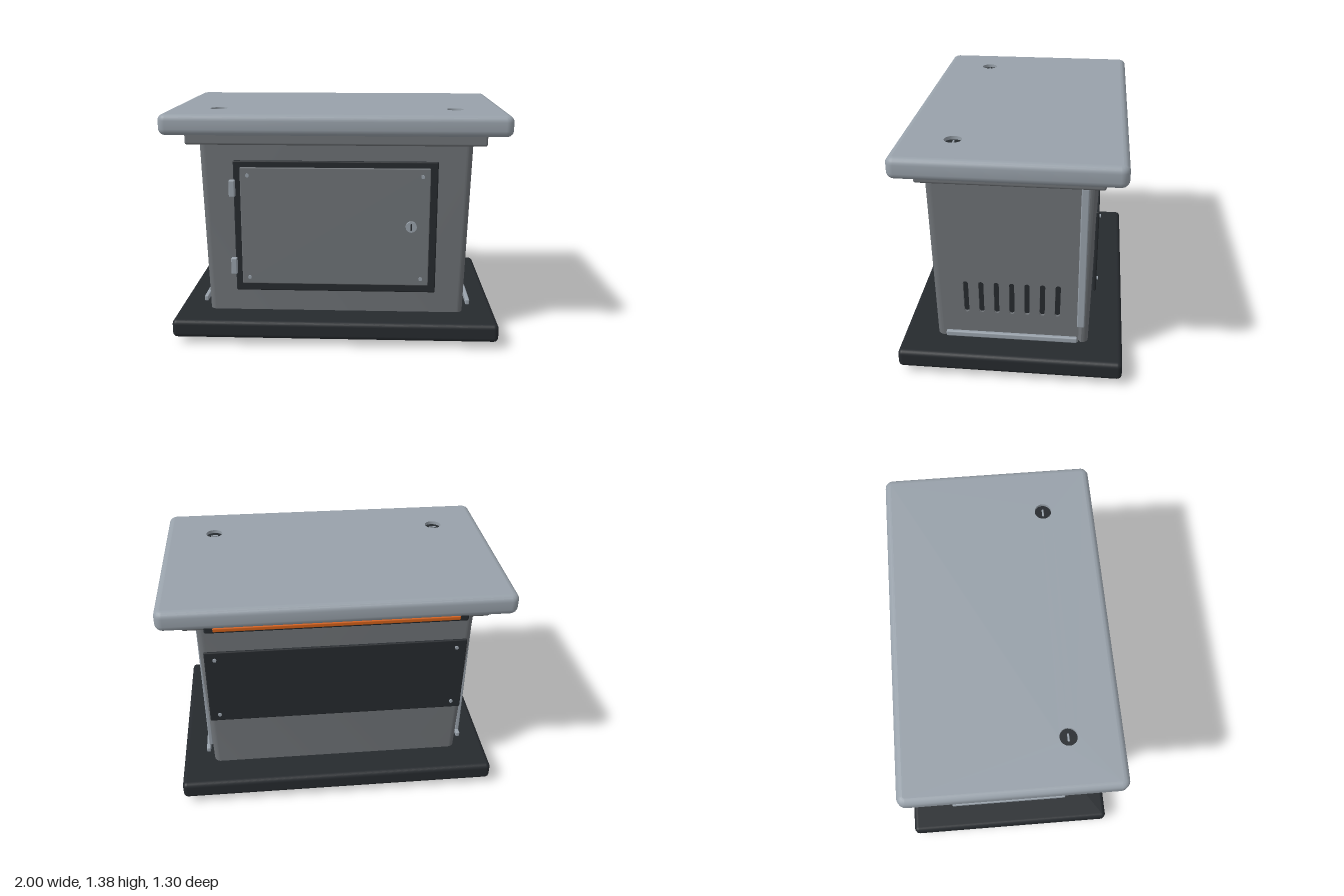
import * as THREE from 'three';
import { toCreasedNormals } from 'three/addons/utils/BufferGeometryUtils.js';
import { RoundedBoxGeometry } from 'three/addons/geometries/RoundedBoxGeometry.js';

const mat = (color) => new THREE.MeshStandardMaterial({ color });
const BODY = mat(0x6e7276), LIGHT = mat(0x98a1aa), DARK = mat(0x262a2e), ORANGE = mat(0xd2601a);
const HOLE = new THREE.MeshStandardMaterial({ color: 0x98a1aa, side: THREE.DoubleSide });

const Y0 = 0.14, Y1 = 1.19;          // cabinet bottom and top
const W = 0.775, D = 0.447, N = 0.02; // cabinet half width, half depth, side sheet thickness
const ZN = 0.39;                      // half depth of the side sheets

// Cabinet walls lean outwards towards the top
function taper(geo) {
  const p = geo.attributes.position;
  for (let i = 0; i < p.count; i++) {
    const t = (p.getY(i) - Y0) / (Y1 - Y0);
    p.setX(i, p.getX(i) * (1 + 0.032 * t));
    p.setZ(i, p.getZ(i) * (1 + 0.056 * t));
  }
  return toCreasedNormals(geo, 0.6);
}

function roundedRect(w, d, r) {
  const s = new THREE.Shape();
  s.absarc(w - r, d - r, r, 0, Math.PI / 2);
  s.absarc(-w + r, d - r, r, Math.PI / 2, Math.PI);
  s.absarc(-w + r, -d + r, r, Math.PI, Math.PI * 1.5);
  s.absarc(w - r, -d + r, r, Math.PI * 1.5, Math.PI * 2);
  s.closePath();
  return s;
}

// Plan of the cabinet with a shallow recess on each side for the slotted sheets
function cabinetPlan() {
  const r = 0.04, s = new THREE.Shape();
  s.moveTo(W, ZN);
  s.absarc(W - r, D - r, r, 0, Math.PI / 2);
  s.absarc(-W + r, D - r, r, Math.PI / 2, Math.PI);
  s.lineTo(-W, ZN);
  s.lineTo(-W + N, ZN);
  s.lineTo(-W + N, -ZN);
  s.lineTo(-W, -ZN);
  s.absarc(-W + r, -D + r, r, Math.PI, Math.PI * 1.5);
  s.absarc(W - r, -D + r, r, Math.PI * 1.5, Math.PI * 2);
  s.lineTo(W, -ZN);
  s.lineTo(W - N, -ZN);
  s.lineTo(W - N, ZN);
  s.closePath();
  return s;
}

// Side sheet with seven upright ventilation slots
function slottedSheet(side) {
  const s = new THREE.Shape();
  s.moveTo(-ZN, Y0); s.lineTo(ZN, Y0); s.lineTo(ZN, Y1); s.lineTo(-ZN, Y1); s.closePath();
  for (let i = -3; i <= 3; i++) {
    const h = new THREE.Path(), x = i * 0.0875, r = 0.015;
    h.absarc(x, 0.52, r, 0, Math.PI);
    h.absarc(x, 0.34, r, Math.PI, Math.PI * 2);
    h.closePath();
    s.holes.push(h);
  }
  const g = new THREE.ExtrudeGeometry(s, { depth: N, bevelEnabled: false, curveSegments: 6 });
  g.translate(0, 0, W - N);
  g.rotateY(side * Math.PI / 2);
  return taper(g);
}

// Lid rim: bevelled slab with its top face left out, so that a pierced one can close it
function lidRim(w, d, y0, y1, b) {
  const g = new THREE.ExtrudeGeometry(roundedRect(w - b, d - b, 0.012), {
    depth: y1 - y0 - 2 * b, bevelSize: b, bevelThickness: b, bevelSegments: 5, curveSegments: 4,
  });
  g.rotateX(-Math.PI / 2);
  g.translate(0, y0 + b, 0);
  const a = g.attributes.position.array, keep = [];
  for (let i = 0; i < a.length; i += 9) {
    if (Math.min(a[i + 1], a[i + 4], a[i + 7]) < y1 - 1e-4) keep.push(...a.slice(i, i + 9));
  }
  const out = new THREE.BufferGeometry();
  out.setAttribute('position', new THREE.Float32BufferAttribute(keep, 3));
  return toCreasedNormals(out, 0.6);
}

export function createModel() {
  const model = new THREE.Group();
  const add = (name, geo, material, x = 0, y = 0, z = 0, parent = model) => {
    const m = new THREE.Mesh(geo, material);
    m.name = name;
    m.position.set(x, y, z);
    parent.add(m);
    return m;
  };
  // Rounded block given by its lower and upper limits on each axis
  const block = (name, material, [x0, x1], [y0, y1], [z0, z1], r, parent) => add(name,
    new RoundedBoxGeometry(x1 - x0, y1 - y0, z1 - z0, 3, r), material,
    (x0 + x1) / 2, (y0 + y1) / 2, (z0 + z1) / 2, parent);
  const group = (name) => {
    const g = new THREE.Group();
    g.name = name;
    model.add(g);
    return g;
  };
  // Round fastener lying on a front or back face
  const disc = (name, material, r, depth, x, y, z, parent) => {
    add(name, new THREE.CylinderGeometry(r, r, depth, 20), material, x, y, z, parent)
      .rotation.x = Math.PI / 2;
  };

  // Plinth and feet
  block('plinth', DARK, [-0.97, 0.97], [0.04, 0.15], [-0.65, 0.65], 0.028);
  for (const x of [-0.725, 0.725]) for (const z of [-0.4, 0.4]) {
    block('foot', DARK, [x - 0.112, x + 0.112], [0, 0.042], [z - 0.112, z + 0.112], 0.016);
  }

  // Cabinet
  const shell = new THREE.ExtrudeGeometry(cabinetPlan(), { depth: Y1 - Y0, bevelEnabled: false, curveSegments: 8 });
  shell.rotateX(-Math.PI / 2);
  shell.translate(0, Y0, 0);
  add('cabinet', taper(shell), BODY);

  // Both sides: slotted sheet, dark backing, upright trim and lower rail
  for (const side of [-1, 1]) {
    const g = group(side > 0 ? 'leftSide' : 'rightSide');
    add('slottedSheet', slottedSheet(side), BODY, 0, 0, 0, g);
    const backing = new THREE.BoxGeometry(0.008, 0.26, 0.6);
    backing.translate(side * (W - N), 0.43, 0);
    add('slotBacking', taper(backing), DARK, 0, 0, 0, g);
    add('uprightTrim', new RoundedBoxGeometry(0.026, 0.89, 0.043, 3, 0.007), LIGHT, side * 0.789, 0.715, -0.403, g);
    add('lowerRail', new RoundedBoxGeometry(0.025, 0.034, 0.77, 3, 0.007), LIGHT, side * 0.812, 0.192, 0, g);
  }

  // Front door with hinges, screws and lock
  const door = group('door');
  block('doorFrame', DARK, [-0.6, 0.6], [0.29, 1.09], [0.466, 0.488], 0.008, door);
  block('doorPanel', BODY, [-0.56, 0.556], [0.337, 1.052], [0.475, 0.498], 0.006, door);
  for (const y of [0.452, 0.928]) {
    block('hinge', LIGHT, [-0.623, -0.588], [y - 0.05, y + 0.05], [0.487, 0.524], 0.006, door);
  }
  for (const x of [-0.515, 0.51]) for (const y of [0.38, 1.005]) {
    disc('doorScrew', LIGHT, 0.011, 0.012, x, y, 0.501, door);
  }
  disc('lock', LIGHT, 0.033, 0.02, 0.448, 0.705, 0.504, door);
  block('keySlot', DARK, [0.444, 0.452], [0.685, 0.725], [0.508, 0.517], 0.002, door);

  // Back panel with screws
  const back = group('backPanel');
  block('backPlate', DARK, [-0.77, 0.77], [0.51, 1.01], [-0.481, -0.462], 0.007, back);
  for (const x of [-0.71, 0.71]) for (const y of [0.56, 0.96]) {
    disc('backScrew', LIGHT, 0.011, 0.012, x, y, -0.484, back);
  }

  // Collar and the light strip on its back
  block('collar', BODY, [-0.873, 0.873], [1.185, 1.265], [-0.512, 0.512], 0.014);
  block('lightHousing', DARK, [-0.75, 0.75], [1.17, 1.223], [-0.527, -0.5], 0.012);
  block('lightStrip', ORANGE, [-0.7, 0.7], [1.184, 1.209], [-0.535, -0.515], 0.006);

  // Lid with two sunken plugs
  const lid = group('lid'), top = 1.375, b = 0.036;
  add('lidRim', lidRim(1, 0.625, 1.255, top, b), LIGHT, 0, 0, 0, lid);
  const face = roundedRect(1 - b, 0.625 - b, 0.012);
  for (const x of [-0.7, 0.7]) {
    const h = new THREE.Path();
    h.absarc(x, -0.32, 0.05, 0, Math.PI * 2, true);
    face.holes.push(h);
    add('plugWell', new THREE.CylinderGeometry(0.05, 0.05, 0.03, 24, 1, true), HOLE, x, top - 0.015, 0.32, lid);
    add('plug', new THREE.CylinderGeometry(0.05, 0.05, 0.02, 24), DARK, x, top - 0.03, 0.32, lid);
    add('plugBar', new RoundedBoxGeometry(0.045, 0.012, 0.011, 2, 0.003), LIGHT, x, top - 0.019, 0.32, lid);
  }
  const faceGeo = new THREE.ShapeGeometry(face, 12);
  faceGeo.rotateX(-Math.PI / 2);
  add('lidTop', faceGeo, LIGHT, 0, top, 0, lid);

  return model;
}
